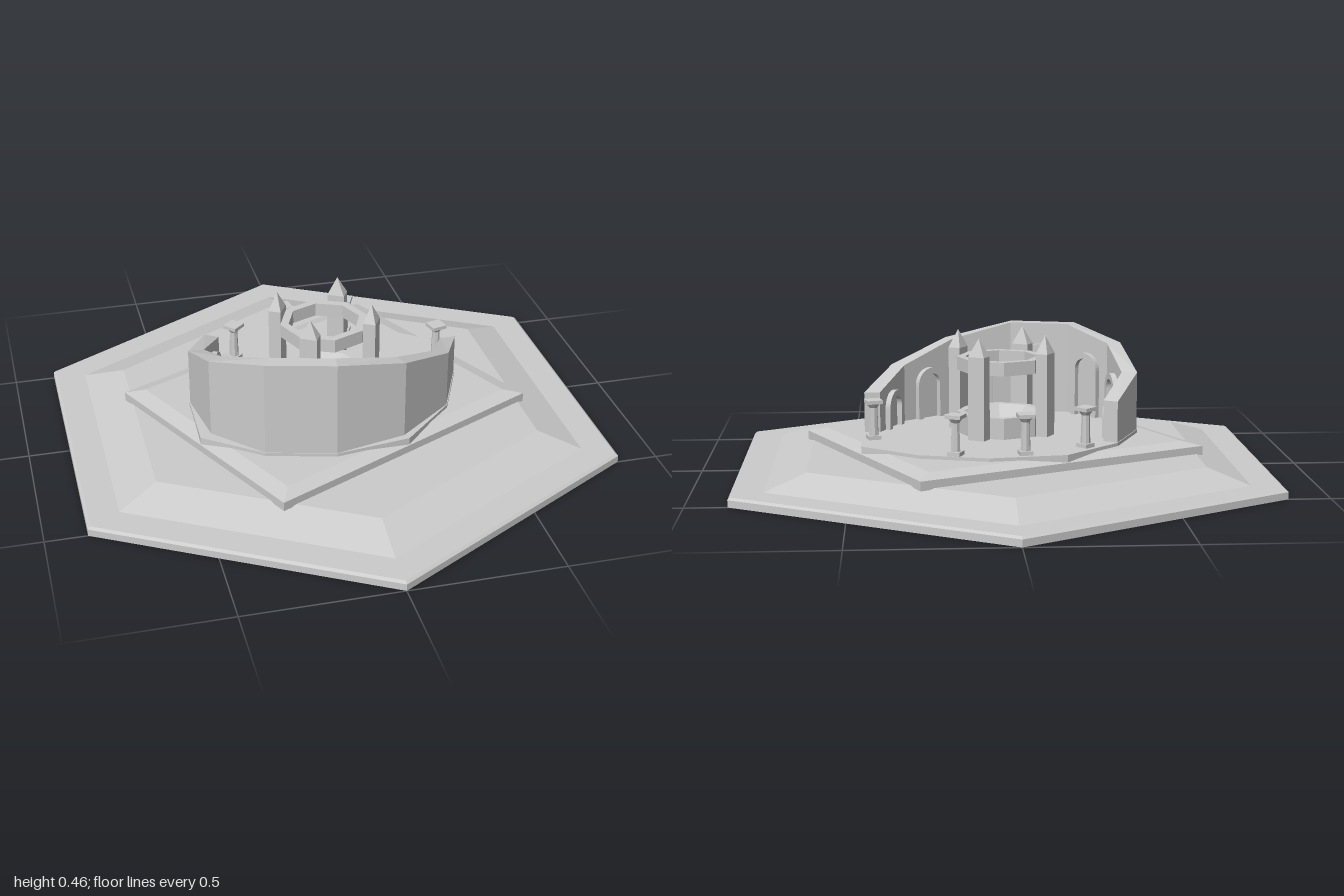
import * as THREE from 'three';

const material = new THREE.MeshStandardMaterial({ color: 0xcccccc, flatShading: true });
const FLOOR = 0.125;

function add(parent, name, geometry, x = 0, y = 0, z = 0) {
  const mesh = new THREE.Mesh(geometry, material);
  mesh.name = name;
  mesh.position.set(x, y, z);
  parent.add(mesh);
  return mesh;
}

// Skin a row of equal-length point loops and cap both ends.
function loft(loops) {
  const pos = [];
  const tri = (...points) => points.forEach((p) => pos.push(p.x, p.y, p.z));
  const n = loops[0].length;
  for (let k = 0; k + 1 < loops.length; k++) {
    for (let i = 0; i < n; i++) {
      const j = (i + 1) % n, a = loops[k], b = loops[k + 1];
      tri(a[i], b[i], b[j]);
      tri(a[i], b[j], a[j]);
    }
  }
  const cap = (loop, flip) => {
    const c = new THREE.Vector3();
    loop.forEach((p) => c.addScaledVector(p, 1 / n));
    for (let i = 0; i < n; i++) {
      const j = (i + 1) % n;
      if (flip) tri(c, loop[i], loop[j]);
      else tri(c, loop[j], loop[i]);
    }
  };
  cap(loops[0], true);
  cap(loops[loops.length - 1], false);
  const g = new THREE.BufferGeometry();
  g.setAttribute('position', new THREE.Float32BufferAttribute(pos, 3));
  g.computeVertexNormals();
  return g;
}

const oval = (deg, rx, rz, y) => {
  const a = THREE.MathUtils.degToRad(deg);
  return new THREE.Vector3(rx * Math.cos(a), y, rz * Math.sin(a));
};
const hexagon = (r, y) => Array.from({ length: 6 }, (_, i) => oval(30 + i * 60, r, r, y));
const rectangle = (w, d, y) => [[1, 1], [-1, 1], [-1, -1], [1, -1]]
  .map(([sx, sz]) => new THREE.Vector3(sx * w / 2, y, sz * d / 2));

// Arched frame standing on y = 0
function archGeometry(width, height, border) {
  const outline = (target, w, h) => {
    target.moveTo(-w / 2, 0);
    target.lineTo(w / 2, 0);
    target.lineTo(w / 2, h - w / 2);
    target.absarc(0, h - w / 2, w / 2, 0, Math.PI, false);
    target.lineTo(-w / 2, 0);
    return target;
  };
  const shape = outline(new THREE.Shape(), width, height);
  shape.holes.push(outline(new THREE.Path(), width - 2 * border, height - border));
  return new THREE.ExtrudeGeometry(shape, { depth: 0.018, bevelEnabled: false, curveSegments: 8 });
}

function createWall() {
  const group = new THREE.Group();
  group.name = 'curvedWall';
  const heights = [0.26, 0.32, 0.39, 0.44, 0.44, 0.39, 0.32, 0.26];
  const sections = heights.map((h, i) => {
    const deg = 30 + i * 30;
    return [oval(deg, 0.42, 0.355, 0.1), oval(deg, 0.42, 0.355, h),
      oval(deg, 0.473, 0.405, h), oval(deg, 0.473, 0.405, 0.1)];
  });
  add(group, 'wall', loft(sections));

  // One arch on the inner face of each wall panel
  for (let i = 0; i + 1 < sections.length; i++) {
    const a = sections[i][0], b = sections[i + 1][0];
    const mid = a.clone().add(b).multiplyScalar(0.5);
    const height = ((heights[i] + heights[i + 1]) / 2 - FLOOR) * 0.77;
    const arch = add(group, 'wallArch', archGeometry(0.115, height, 0.02), mid.x, FLOOR, mid.z);
    arch.rotation.y = Math.atan2(a.z - b.z, b.x - a.x) + Math.PI;
    // Turn the frame towards the middle of the court
    const facing = new THREE.Vector3(Math.sin(arch.rotation.y), 0, Math.cos(arch.rotation.y));
    if (facing.dot(mid) > 0) arch.rotation.y += Math.PI;
  }
  return group;
}

function createShrine() {
  const group = new THREE.Group();
  group.name = 'centralShrine';
  const ring = (points) => new THREE.LatheGeometry(
    points.map(([r, y]) => new THREE.Vector2(r, y)), 8);
  // Eight-sided basin with a sloping bowl
  add(group, 'basin', ring([[0.15, FLOOR], [0.15, 0.195], [0.125, 0.195], [0.075, 0.145], [0, 0.145]]));
  // Ring beam joining the four spired posts
  add(group, 'ringBeam', ring([[0.12, 0.335], [0.148, 0.335], [0.148, 0.38], [0.12, 0.38], [0.12, 0.335]]));
  for (let i = 0; i < 4; i++) {
    const post = new THREE.Group();
    post.name = 'spiredPost';
    const angle = Math.PI / 6 + i * Math.PI / 2;
    post.position.set(0.162 * Math.cos(angle), 0, 0.162 * Math.sin(angle));
    post.rotation.y = -angle;
    add(post, 'postShaft', new THREE.BoxGeometry(0.042, 0.275, 0.058), 0, FLOOR + 0.1375, 0);
    const tip = new THREE.ConeGeometry(Math.SQRT1_2, 0.06, 4).rotateY(Math.PI / 4).scale(0.042, 1, 0.058);
    add(post, 'postSpire', tip, 0, 0.43, 0);
    group.add(post);
  }
  return group;
}

function createColumn(x, z) {
  const group = new THREE.Group();
  group.name = 'smallColumn';
  group.position.set(x, FLOOR - 0.005, z);
  group.rotation.y = Math.atan2(x, z);
  add(group, 'columnFoot', new THREE.BoxGeometry(0.042, 0.018, 0.042), 0, 0.009, 0);
  add(group, 'columnShaft', new THREE.CylinderGeometry(0.013, 0.016, 0.1, 8), 0, 0.065, 0);
  add(group, 'columnCapital', new THREE.CylinderGeometry(0.024, 0.013, 0.015, 8), 0, 0.117, 0);
  add(group, 'columnSlab', new THREE.BoxGeometry(0.052, 0.012, 0.052), 0, 0.13, 0);
  return group;
}

export function createModel() {
  const model = new THREE.Group();
  model.name = 'hexagonalCourt';

  // Hexagonal ground with a low raised mound
  add(model, 'groundTile', loft([hexagon(1, 0), hexagon(1, 0.023), hexagon(0.99, 0.03)]));
  add(model, 'mound', loft([hexagon(0.885, 0.028), hexagon(0.73, 0.075)]));

  // Turned terrace carrying the oval floor and wall
  const terrace = new THREE.Group();
  terrace.name = 'terrace';
  terrace.rotation.y = 0.45;
  add(terrace, 'terraceSlab', loft([rectangle(1.035, 0.865, 0.07),
    rectangle(1.035, 0.865, 0.1), rectangle(0.93, 0.77, 0.114)]));
  const floorLoop = (y) => Array.from({ length: 12 }, (_, i) =>
    oval(i * 30, i % 6 === 0 ? 0.515 : 0.475, i % 6 === 3 ? 0.43 : 0.408, y));
  add(terrace, 'ovalFloor', loft([floorLoop(0.1), floorLoop(FLOOR)]));
  terrace.add(createWall());
  model.add(terrace);

  model.add(createShrine());
  // Columns along the open side
  [[-0.255, -0.27], [-0.055, -0.37], [0.165, -0.37], [0.425, -0.105]]
    .forEach(([x, z]) => model.add(createColumn(x, z)));
  return model;
}
